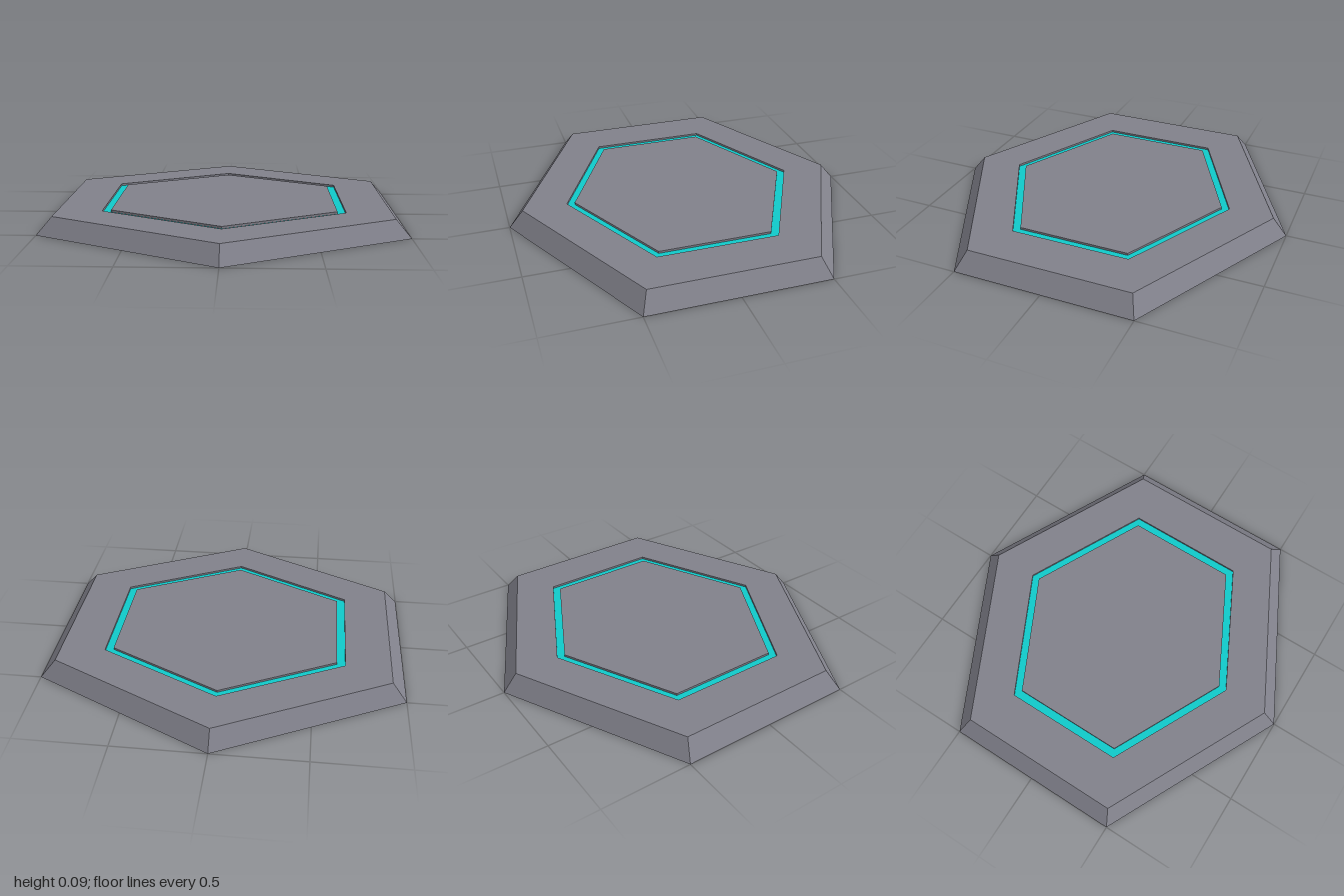
import * as THREE from 'three';

const HEIGHT = 0.095;
const FLOOR = 0.083; // bottom of the inlaid groove
const GROOVE_OUT = 0.67;
const GROOVE_IN = 0.625;

// Six-sided revolved profile, widened so the hexagon fills a square footprint
function hexRing(name, profile, material) {
  const points = profile.map(([r, y]) => new THREE.Vector2(r, y));
  const geometry = new THREE.LatheGeometry(points, 6).toNonIndexed();
  geometry.scale(2 / Math.sqrt(3), 1, 1);
  geometry.computeVertexNormals();
  const mesh = new THREE.Mesh(geometry, material);
  mesh.name = name;
  return mesh;
}

export function createModel() {
  const stone = new THREE.MeshStandardMaterial({ color: 0x80808a });
  stone.name = 'grey';
  const glow = new THREE.MeshStandardMaterial({ color: 0x10c8c8 });
  glow.name = 'cyan';

  const group = new THREE.Group();
  group.name = 'hexagonalTile';
  group.add(
    // Underside, bevelled rim, outer top border and outer groove wall
    hexRing('bevelledBase', [[0, 0], [1, 0], [0.92, HEIGHT], [GROOVE_OUT, HEIGHT], [GROOVE_OUT, FLOOR]], stone),
    // Coloured floor of the groove
    hexRing('grooveInlay', [[GROOVE_OUT, FLOOR], [GROOVE_IN, FLOOR]], glow),
    // Inner groove wall and centre panel
    hexRing('centrePanel', [[GROOVE_IN, FLOOR], [GROOVE_IN, HEIGHT], [0, HEIGHT]], stone)
  );
  return group;
}
